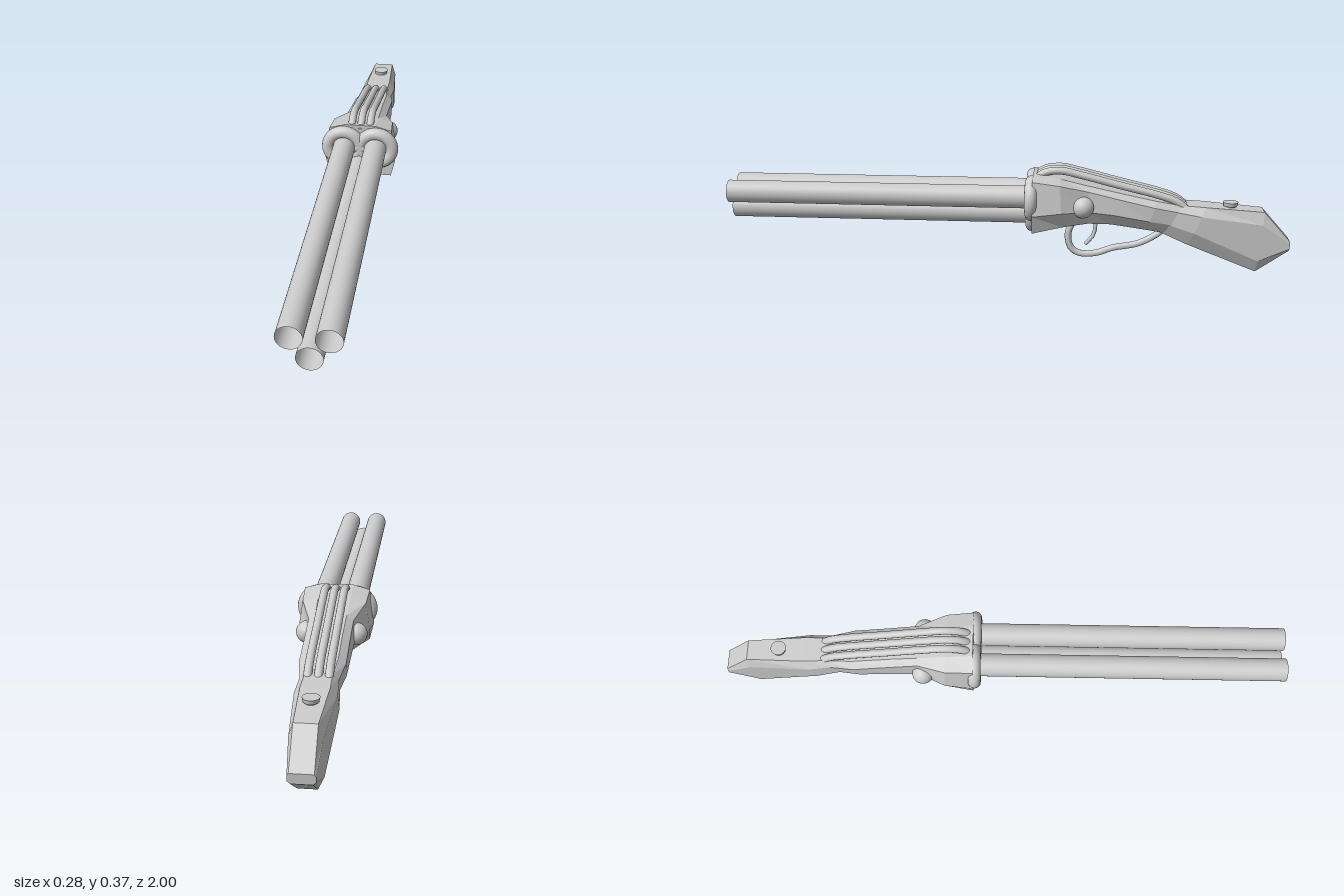
import * as THREE from 'three';

const smooth = new THREE.MeshStandardMaterial({ color: 0xcccccc });
const open = new THREE.MeshStandardMaterial({ color: 0xcccccc, side: THREE.DoubleSide });
const faceted = new THREE.MeshStandardMaterial({ color: 0xcccccc, flatShading: true });

function add(parent, name, geometry, material, x = 0, y = 0, z = 0) {
  const mesh = new THREE.Mesh(geometry, material);
  mesh.name = name;
  mesh.position.set(x, y, z);
  parent.add(mesh);
  return mesh;
}

// Lofts eight-cornered sections running toward -z.
// Section: top z, top y, bottom z, bottom y, four half widths (top, upper, lower, bottom),
// then how far down the upper and lower corners sit (0 = top, 1 = bottom).
function loft(sections) {
  const positions = [], index = [];
  for (const [zt, yt, zb, yb, wt, wu, wl, wb, tu, tl] of sections) {
    const half = [[wb, 1], [wl, tl], [wu, tu], [wt, 0]];
    const ring = [...half, ...half.slice().reverse().map(([w, t]) => [-w, t])];
    for (const [w, t] of ring) positions.push(w, yt + (yb - yt) * t, zt + (zb - zt) * t);
  }
  const last = (sections.length - 1) * 8;
  for (let s = 0; s < last; s += 8) {
    for (let k = 0; k < 8; k++) {
      const a = s + k, b = s + (k + 1) % 8;
      index.push(a, a + 8, b, b, a + 8, b + 8);
    }
  }
  for (let k = 1; k < 7; k++) {
    index.push(0, k, k + 1, last, last + k + 1, last + k);
  }
  const geometry = new THREE.BufferGeometry();
  geometry.setAttribute('position', new THREE.Float32BufferAttribute(positions, 3));
  geometry.setIndex(index);
  const flat = geometry.toNonIndexed();
  flat.computeVertexNormals();
  return flat;
}

// Tube through [z, y] points in the plane x = 0
function rod(points, radius, segments, sides) {
  const curve = new THREE.CatmullRomCurve3(points.map(([z, y]) => new THREE.Vector3(0, y, z)));
  return new THREE.TubeGeometry(curve, segments, radius, sides);
}

export function createModel() {
  const model = new THREE.Group();
  model.name = 'tripleBarrelGun';

  // Three open barrels, each with a collar at the receiver
  const barrel = new THREE.CylinderGeometry(0.04, 0.04, 1.1, 32, 1, true).rotateX(Math.PI / 2);
  const collar = new THREE.TorusGeometry(0.058, 0.0225, 16, 40);
  for (const [name, x, y, collarY] of [
    ['left', 0.057, 0.265, 0.262],
    ['right', -0.057, 0.265, 0.262],
    ['lower', 0, 0.196, 0.207],
  ]) {
    add(model, name + 'Barrel', barrel, open, x, y, 0.45);
    add(model, name + 'Collar', collar, smooth, x * 1.04, collarY, -0.09);
  }

  // Receiver tapering into the neck
  add(model, 'receiver', loft([
    [-0.095, 0.348, -0.095, 0.148, 0.055, 0.113, 0.129, 0.114, 0.08, 0.68],
    [-0.19, 0.332, -0.2, 0.165, 0.055, 0.108, 0.122, 0.085, 0.08, 0.65],
    [-0.29, 0.308, -0.29, 0.172, 0.052, 0.075, 0.08, 0.055, 0.12, 0.65],
    [-0.39, 0.286, -0.37, 0.17, 0.05, 0.074, 0.078, 0.05, 0.15, 0.65],
    [-0.53, 0.257, -0.49, 0.152, 0.05, 0.074, 0.074, 0.045, 0.18, 0.65],
    [-0.62, 0.24, -0.57, 0.138, 0.042, 0.06, 0.06, 0.04, 0.2, 0.65],
  ]), faceted);

  // Stock flaring down to the angular butt
  add(model, 'stock', loft([
    [-0.6, 0.243, -0.55, 0.14, 0.042, 0.06, 0.06, 0.04, 0.2, 0.65],
    [-0.7, 0.237, -0.64, 0.1, 0.045, 0.066, 0.068, 0.042, 0.22, 0.65],
    [-0.905, 0.222, -0.885, 0.002, 0.036, 0.05, 0.05, 0.03, 0.2, 0.8],
    [-1, 0.116, -0.997, 0.082, 0.036, 0.041, 0.041, 0.032, 0.25, 0.75],
  ]), faceted);

  // Three raised rods along the top
  const topRod = rod([[-0.1, 0.325], [-0.135, 0.349], [-0.19, 0.357], [-0.26, 0.343],
    [-0.4, 0.308], [-0.54, 0.274], [-0.6, 0.253], [-0.64, 0.222]], 0.0135, 40, 12);
  for (const x of [-0.033, 0, 0.033]) add(model, 'topRod', topRod, smooth, x);

  // Domed pins on both sides
  for (const side of [-1, 1]) {
    add(model, side > 0 ? 'leftPin' : 'rightPin', new THREE.SphereGeometry(0.038, 24, 16),
      smooth, side * 0.082, 0.238, -0.272);
  }

  // Button on the stock
  const button = new THREE.Group();
  button.name = 'stockButton';
  model.add(button);
  add(button, 'buttonStem', new THREE.CylinderGeometry(0.018, 0.018, 0.03, 20), smooth, 0, 0.225, -0.79);
  add(button, 'buttonHead', new THREE.CylinderGeometry(0.027, 0.024, 0.014, 24), smooth, 0, 0.241, -0.79);

  // Trigger and the guard looping around it
  const guard = add(model, 'triggerGuard', rod([[-0.27, 0.19], [-0.235, 0.16], [-0.22, 0.12],
    [-0.23, 0.07], [-0.26, 0.049], [-0.32, 0.05], [-0.38, 0.071], [-0.47, 0.09],
    [-0.53, 0.122], [-0.57, 0.155]], 0.012, 40, 8), smooth, 0.01);
  guard.scale.x = 1.3;
  const trigger = add(model, 'trigger', rod([[-0.31, 0.19], [-0.317, 0.15], [-0.31, 0.115],
    [-0.283, 0.08]], 0.007, 16, 8), smooth);
  trigger.scale.x = 1.3;

  return model;
}
